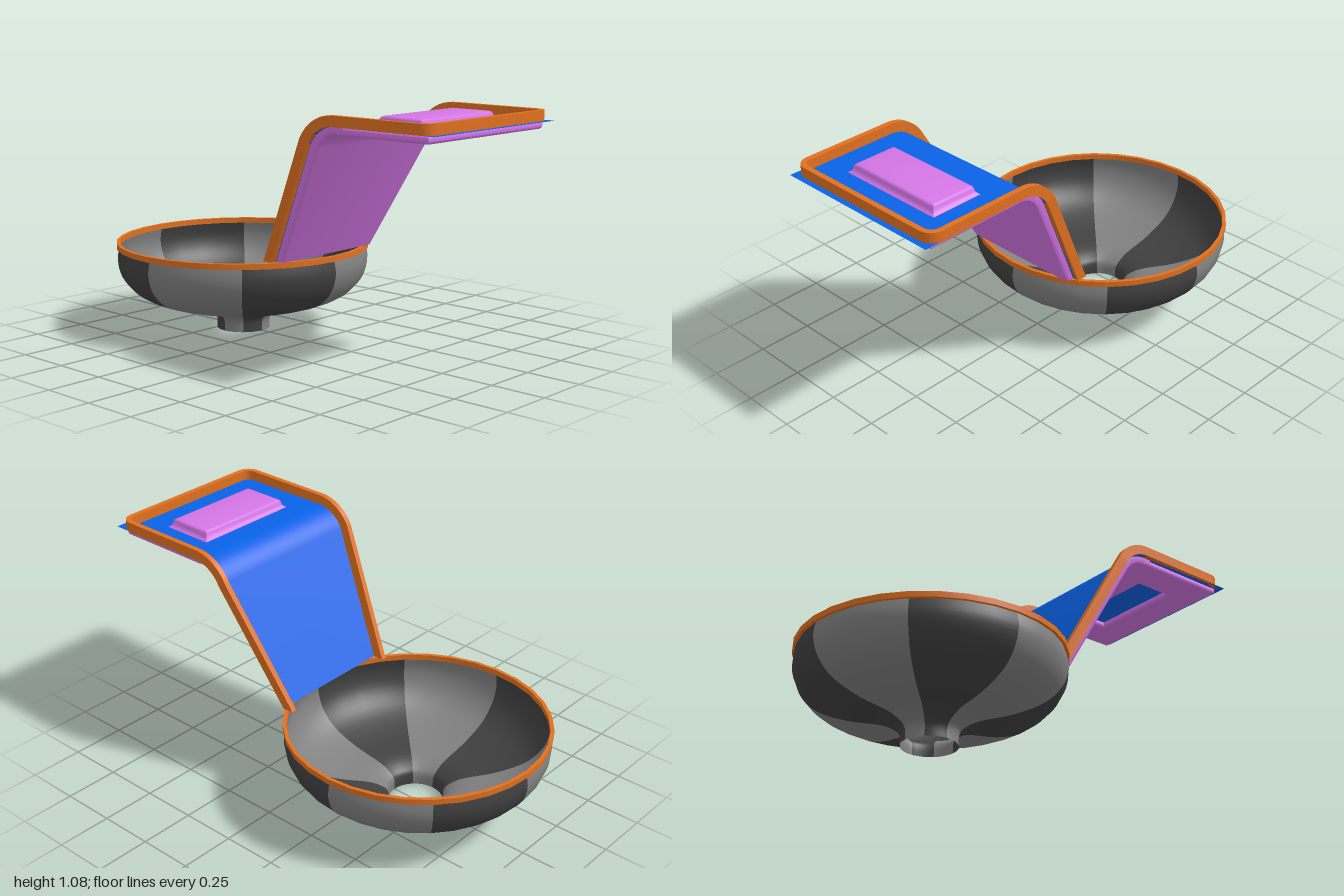
import * as THREE from 'three';
import { toCreasedNormals } from 'three/addons/utils/BufferGeometryUtils.js';

const ORANGE = 0xe0701f, BLUE = 0x0a62e6, PINK = 0xd576e6, LIGHT = 0x808080, DARK = 0x404040;

// Chute path: level deck at DECK_Y, bend of radius R, then a straight slope cut level at BOTTOM_Y
const DECK_Y = 1.035, BEND = 0.49, R = 0.15, SLOPE = 1.086, BOTTOM_Y = 0.42;
const STRAIGHT = BEND - R * SLOPE, END = -0.33, BOWL_Z = -0.42;

// Folds a flat point (x, s along the chute, h above the sheet) onto the chute
function bend(x, s, h) {
  if (s >= BEND) return new THREE.Vector3(x, DECK_Y + h, s);
  const a = Math.min((BEND - s) / R, SLOPE), r = R + h;
  const y = DECK_Y - R + r * Math.cos(a);
  const l = Math.min(Math.max(0, STRAIGHT - s), (y - BOTTOM_Y) / Math.sin(a));
  return new THREE.Vector3(x, y - l * Math.sin(a), BEND - r * Math.sin(a) - l * Math.cos(a));
}

// Narrows from the full half width to the half width at the foot
const taper = (s, top, foot) => s >= STRAIGHT ? top : THREE.MathUtils.mapLinear(Math.max(s, -0.28), STRAIGHT, -0.28, top, foot);

// Stations from the foot of the slope up to the start of the deck
const stations = [END, -0.28];
for (let i = 0; i <= 12; i++) stations.push(STRAIGHT + (BEND - STRAIGHT) * i / 12);

// Skins a row of cross-sections; closed sections also get end caps
function loft(rings, closed) {
  const n = rings[0].length, index = [];
  for (let i = 0; i < rings.length - 1; i++) {
    for (let j = 0; j < (closed ? n : n - 1); j++) {
      const k = (j + 1) % n, a = i * n + j, b = i * n + k;
      index.push(a, b, b + n, a, b + n, a + n);
    }
  }
  if (closed) {
    const last = (rings.length - 1) * n;
    for (let j = 1; j < n - 1; j++) index.push(0, j + 1, j, last, last + j, last + j + 1);
  }
  const g = new THREE.BufferGeometry().setFromPoints(rings.flat());
  g.setIndex(index);
  return toCreasedNormals(g, 0.6);
}

function rectangle(Type, x, z0, z1) {
  return new Type([[-x, z0], [x, z0], [x, z1], [-x, z1]].map(p => new THREE.Vector2(...p)));
}

export function createModel() {
  const model = new THREE.Group();
  const add = (name, geometry, color, side = THREE.FrontSide) => {
    const mesh = new THREE.Mesh(geometry, new THREE.MeshStandardMaterial({ color, side }));
    mesh.name = name;
    model.add(mesh);
    return mesh;
  };

  // Thin open bowl in eight alternating sectors
  const curve = new THREE.SplineCurve([
    [0.122, 0], [0.124, 0.05], [0.15, 0.078], [0.212, 0.104], [0.35, 0.128], [0.478, 0.175],
    [0.55, 0.244], [0.578, 0.325], [0.568, 0.395],
  ].map(p => new THREE.Vector2(...p)));
  const profile = curve.getPoints(32);
  for (let i = 0; i < 8; i++) {
    const sector = new THREE.LatheGeometry(profile, 4, i * Math.PI / 4, Math.PI / 4);
    add('bowlSector' + (i + 1), sector, i % 2 ? DARK : LIGHT, THREE.DoubleSide).position.z = BOWL_Z;
  }

  // Bowl rim
  const rim = [[0.566, 0.39], [0.582, 0.39], [0.582, 0.415], [0.566, 0.415], [0.566, 0.39]];
  add('bowlRim', toCreasedNormals(new THREE.LatheGeometry(rim.map(p => new THREE.Vector2(...p)), 32), 0.6), ORANGE)
    .position.z = BOWL_Z;

  // Chute sheet
  add('chuteSheet', loft([...stations, 1].map(s => {
    const w = taper(s, 0.4, 0.298);
    return [bend(-w, s, 0), bend(w, s, 0)];
  })), BLUE, THREE.DoubleSide);

  // Rail running up one side, round the front corners and down the other side
  const half = stations.map(s => [taper(s, 0.39, 0.304), s]);
  for (let i = 0; i <= 6; i++) {
    const a = i / 6 * Math.PI / 2;
    half.push([0.34 + 0.05 * Math.cos(a), 0.912 + 0.05 * Math.sin(a)]);
  }
  const plan = [...half, ...half.map(([x, s]) => [-x, s]).reverse()].map(p => new THREE.Vector2(...p));
  add('rail', loft(plan.map((p, i) => {
    const d = new THREE.Vector2();
    if (i > 0) d.add(p.clone().sub(plan[i - 1]).normalize());
    if (i < plan.length - 1) d.add(plan[i + 1].clone().sub(p).normalize());
    d.normalize().multiplyScalar(0.0125);
    const at = (side, h) => bend(p.x + side * d.y, p.y - side * d.x, h);
    return [at(1, 0), at(1, 0.045), at(-1, 0.045), at(-1, 0)];
  }), true), ORANGE);

  // Padding under the slope and bend, with softened edges
  add('slopeUnderside', loft([...stations, 0.53].reverse().map(s => {
    const w = taper(s, 0.377, 0.288);
    return [[-w, -0.001], [w, -0.001], [w, -0.02], [w - 0.005, -0.03], [w - 0.016, -0.036],
      [0.016 - w, -0.036], [0.005 - w, -0.03], [-w, -0.02]].map(([x, h]) => bend(x, s, h));
  }), true), PINK);

  // Padding under the deck, with an opening below the raised pad
  const frame = rectangle(THREE.Shape, 0.362, 0.505, 0.939);
  frame.holes.push(rectangle(THREE.Path, 0.235, 0.595, 0.805));
  const deck = new THREE.ExtrudeGeometry(frame, {
    depth: 0.005, bevelThickness: 0.015, bevelSize: 0.015, bevelSegments: 4,
  });
  deck.rotateX(Math.PI / 2);
  add('deckUnderside', deck, PINK).position.y = DECK_Y - 0.016;

  // Raised pad on the deck: a four-sided turned block stretched sideways
  const pad = new THREE.LatheGeometry([
    [0.123, 0], [0.114, 0.006], [0.108, 0.014], [0.105, 0.028], [0.101, 0.036], [0.092, 0.04], [0, 0.04],
  ].map(([r, y]) => new THREE.Vector2(r * Math.SQRT2, y)), 4);
  pad.rotateY(Math.PI / 4);
  const pos = pad.attributes.position;
  for (let i = 0; i < pos.count; i++) {
    const x = pos.getX(i);
    if (Math.abs(x) > 0.01) pos.setX(i, x + Math.sign(x) * 0.13);
  }
  add('deckPad', toCreasedNormals(pad, 0.7), PINK).position.set(0, DECK_Y, 0.703);

  return model;
}
